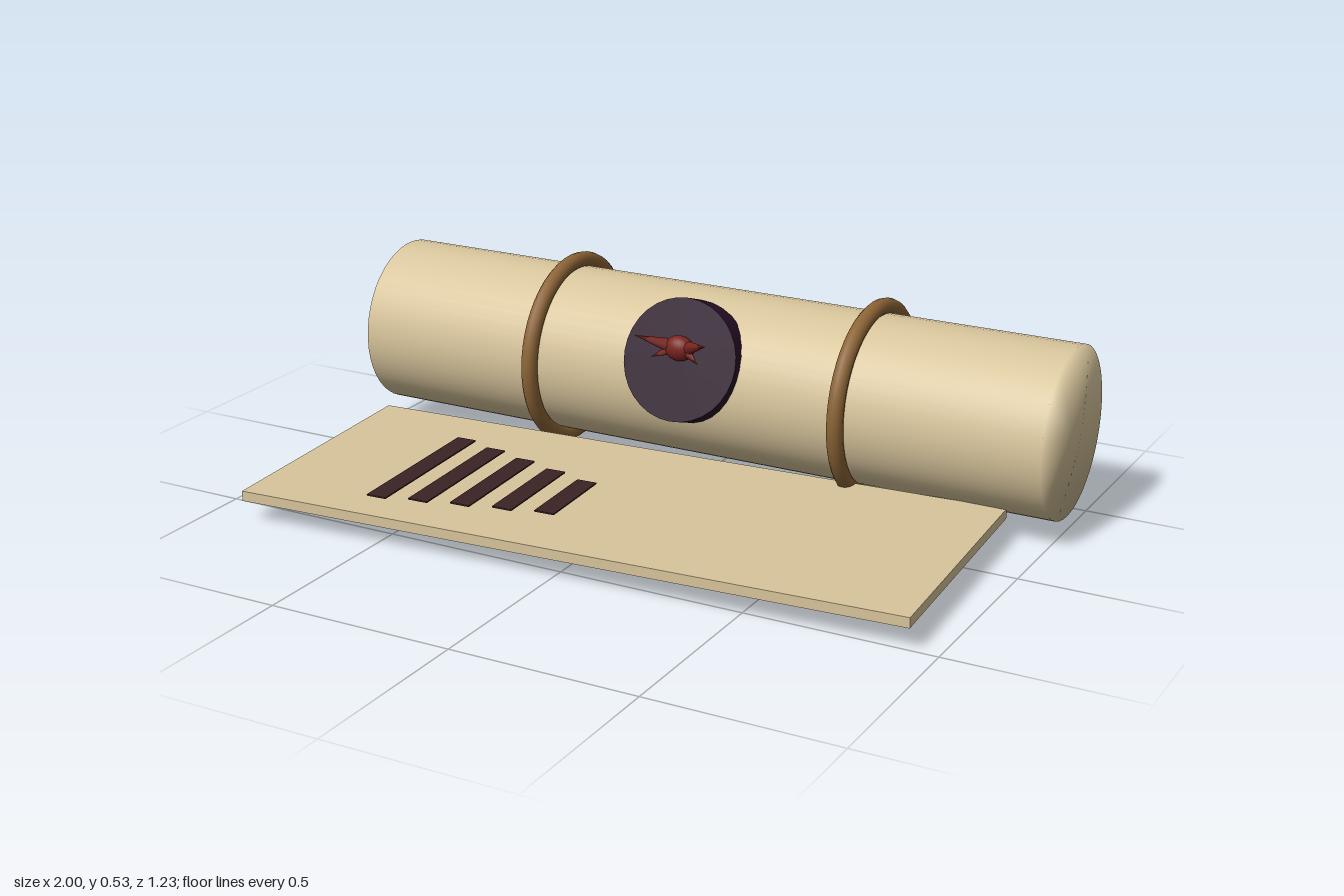
import * as THREE from 'three';
import { mergeVertices } from 'three/addons/utils/BufferGeometryUtils.js';

const material = (name, color) => {
  const m = new THREE.MeshStandardMaterial({ color });
  m.name = name;
  return m;
};

export function createModel() {
  const parchment = material('parchment', 0xd8c59c);
  const bronze = material('bronze', 0x8c6436);
  const wax = material('dark wax', 0x2a1029);
  const ink = material('ink', 0x3a2325);
  const crimson = material('crimson', 0x7a2420);

  const model = new THREE.Group();
  model.name = 'sealedScroll';
  const add = (parent, name, geometry, mat, x = 0, y = 0, z = 0) => {
    const mesh = new THREE.Mesh(geometry, mat);
    mesh.name = name;
    mesh.position.set(x, y, z);
    parent.add(mesh);
    return mesh;
  };

  // Rolled scroll, with normals blended softly over the end rims
  const Y = 0.268, Z = -0.347;
  let roll = new THREE.CylinderGeometry(0.228, 0.228, 2, 48);
  roll.deleteAttribute('uv');
  roll.deleteAttribute('normal');
  roll = mergeVertices(roll);
  roll.computeVertexNormals();
  add(model, 'scrollRoll', roll, parchment, 0, Y, Z).rotation.z = Math.PI / 2;

  // Binding rings
  for (const side of [-1, 1]) {
    add(model, side < 0 ? 'rightRing' : 'leftRing',
      new THREE.TorusGeometry(0.245, 0.022, 12, 48), bronze,
      side * 0.455, Y, Z).rotation.y = Math.PI / 2;
  }

  // Loose sheet, turned slightly
  const turn = 0.0606;
  add(model, 'sheet', new THREE.BoxGeometry(1.818, 0.027, 0.724), parchment,
    -0.002, 0.0705, 0.196).rotation.y = turn;

  // Lines of writing, each shorter than the last
  for (let i = 0; i < 5; i++) {
    add(model, 'inkLine' + (i + 1),
      new THREE.BoxGeometry(0.055, 0.004, 0.46 - i * 0.0565), ink,
      -0.548 + i * 0.109, 0.102, 0.285).rotation.y = turn - 0.008;
  }

  // Wax seal, its local z axis pointing out of its face
  const seal = new THREE.Group();
  seal.name = 'seal';
  seal.position.set(0, 0.37, -0.113);
  seal.rotation.x = -0.333;
  model.add(seal);
  add(seal, 'sealDisc', new THREE.CylinderGeometry(0.164, 0.164, 0.077, 32), wax,
    0, 0, -0.0385).rotation.x = Math.PI / 2;

  // Winged emblem: a round body with tapered spikes on both sides
  const emblem = new THREE.Group();
  emblem.name = 'emblem';
  model.add(emblem);
  const body = add(emblem, 'emblemBody', new THREE.SphereGeometry(0.038, 20, 14), crimson, 0, 0.402, -0.113);
  body.scale.set(1.1, 0.9, 0.75);

  const spike = (name, from, to, radius) => {
    const a = new THREE.Vector3(...from), b = new THREE.Vector3(...to);
    const dir = b.clone().sub(a);
    const mesh = add(emblem, name, new THREE.ConeGeometry(radius, dir.length(), 8), crimson);
    mesh.position.copy(a.add(b).multiplyScalar(0.5));
    mesh.quaternion.setFromUnitVectors(new THREE.Vector3(0, 1, 0), dir.normalize());
  };
  for (const s of [-1, 1]) {
    const label = s < 0 ? 'right' : 'left';
    spike(label + 'UpperWing', [s * 0.015, 0.402, -0.118], [s * 0.105, 0.437, -0.06], 0.022);
    spike(label + 'LowerWing', [s * 0.015, 0.4, -0.112], [s * 0.07, 0.375, -0.085], 0.016);
  }

  return model;
}
